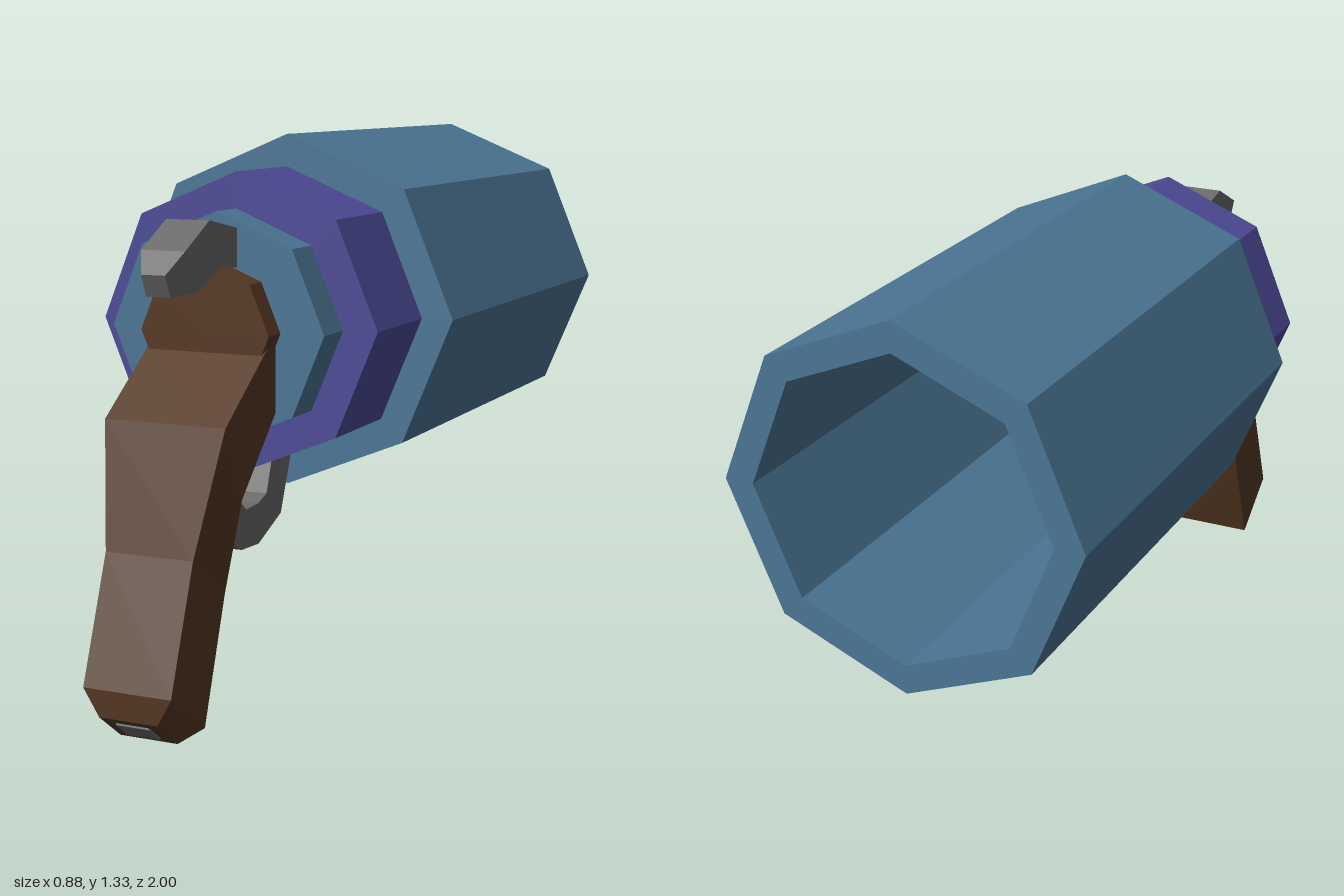
import * as THREE from 'three';

const AXIS_Y = 0.885;

function material(name, color) {
  const m = new THREE.MeshStandardMaterial({ color, flatShading: true });
  m.name = name;
  return m;
}

// Eight-sided turned part along z; profile points are [radius, z]
function turned(name, profile, mat) {
  const pts = profile.map(([r, z]) => new THREE.Vector2(r, z));
  const geo = new THREE.LatheGeometry(pts, 8).toNonIndexed();
  geo.rotateX(Math.PI / 2);
  geo.translate(0, AXIS_Y, 0);
  geo.computeVertexNormals();
  const mesh = new THREE.Mesh(geo, mat);
  mesh.name = name;
  return mesh;
}

// Rectangular sections joined in order: [outerZ, outerY, innerZ, innerY, halfWidth]
function lofted(name, sections, mat) {
  const pos = [];
  const rings = sections.map(([az, ay, bz, by, w]) => [
    [-w, ay, az], [w, ay, az], [w, by, bz], [-w, by, bz],
  ]);
  const quad = (a, b, c, d) => pos.push(...a, ...b, ...c, ...a, ...c, ...d);
  for (let i = 0; i < rings.length - 1; i++) {
    const a = rings[i], b = rings[i + 1];
    for (let k = 0; k < 4; k++) {
      const n = (k + 1) % 4;
      quad(a[k], b[k], b[n], a[n]);
    }
  }
  const first = rings[0], last = rings[rings.length - 1];
  quad(first[0], first[1], first[2], first[3]);
  quad(last[3], last[2], last[1], last[0]);
  const geo = new THREE.BufferGeometry();
  geo.setAttribute('position', new THREE.Float32BufferAttribute(pos, 3));
  geo.computeVertexNormals();
  const mesh = new THREE.Mesh(geo, mat);
  mesh.name = name;
  return mesh;
}

export function createModel() {
  const blue = material('blue steel', 0x4b7595);
  const purple = material('purple steel', 0x4c4a96);
  const brown = material('brown wood', 0x553823);
  const grey = material('grey metal', 0x6a6a6a);

  const model = new THREE.Group();
  model.name = 'handCannon';

  // Hollow barrel and stepped breech
  model.add(
    turned('barrel', [[0, 0.1], [0.37, 0.1], [0.37, -1], [0.442, -1], [0.442, 0.172], [0, 0.172]], blue),
    turned('collar', [[0, 0.15], [0.362, 0.15], [0.362, 0.453], [0, 0.453]], purple),
    turned('breech', [[0, 0.44], [0.275, 0.44], [0.275, 0.56], [0, 0.56]], blue),
    turned('gripMount', [[0, 0.55], [0.165, 0.55], [0.165, 0.622], [0, 0.622]], brown),
  );

  // Bent grip with a bevelled butt
  model.add(lofted('grip', [
    [0.54, 0.89, 0.49, 0.755, 0.152],
    [0.622, 0.84, 0.56, 0.70, 0.152],
    [0.815, 0.705, 0.735, 0.53, 0.152],
    [0.893, 0.42, 0.742, 0.31, 0.11],
    [1.0, 0.137, 0.845, 0.025, 0.11],
    [0.996, 0.072, 0.905, 0.002, 0.073],
  ], brown));
  model.add(lofted('buttPlate', [
    [0.975, 0.062, 0.925, 0.024, 0.042],
    [0.978, 0.053, 0.929, 0.014, 0.042],
  ], grey));

  // Curved hammer with a tapered tip
  model.add(lofted('hammer', [
    [0.54, 1.12, 0.54, 1.03, 0.055],
    [0.695, 1.15, 0.64, 1.04, 0.055],
    [0.81, 1.09, 0.755, 0.995, 0.055],
    [0.857, 1.04, 0.835, 0.99, 0.03],
  ], grey));

  // Trigger guard hooking from the grip to the collar
  model.add(lofted('triggerGuard', [
    [0.65, 0.66, 0.57, 0.67, 0.055],
    [0.71, 0.53, 0.597, 0.55, 0.055],
    [0.64, 0.41, 0.575, 0.495, 0.055],
    [0.545, 0.36, 0.52, 0.453, 0.055],
    [0.455, 0.355, 0.455, 0.455, 0.055],
    [0.33, 0.405, 0.41, 0.47, 0.055],
    [0.27, 0.545, 0.38, 0.55, 0.055],
  ], grey));

  return model;
}
